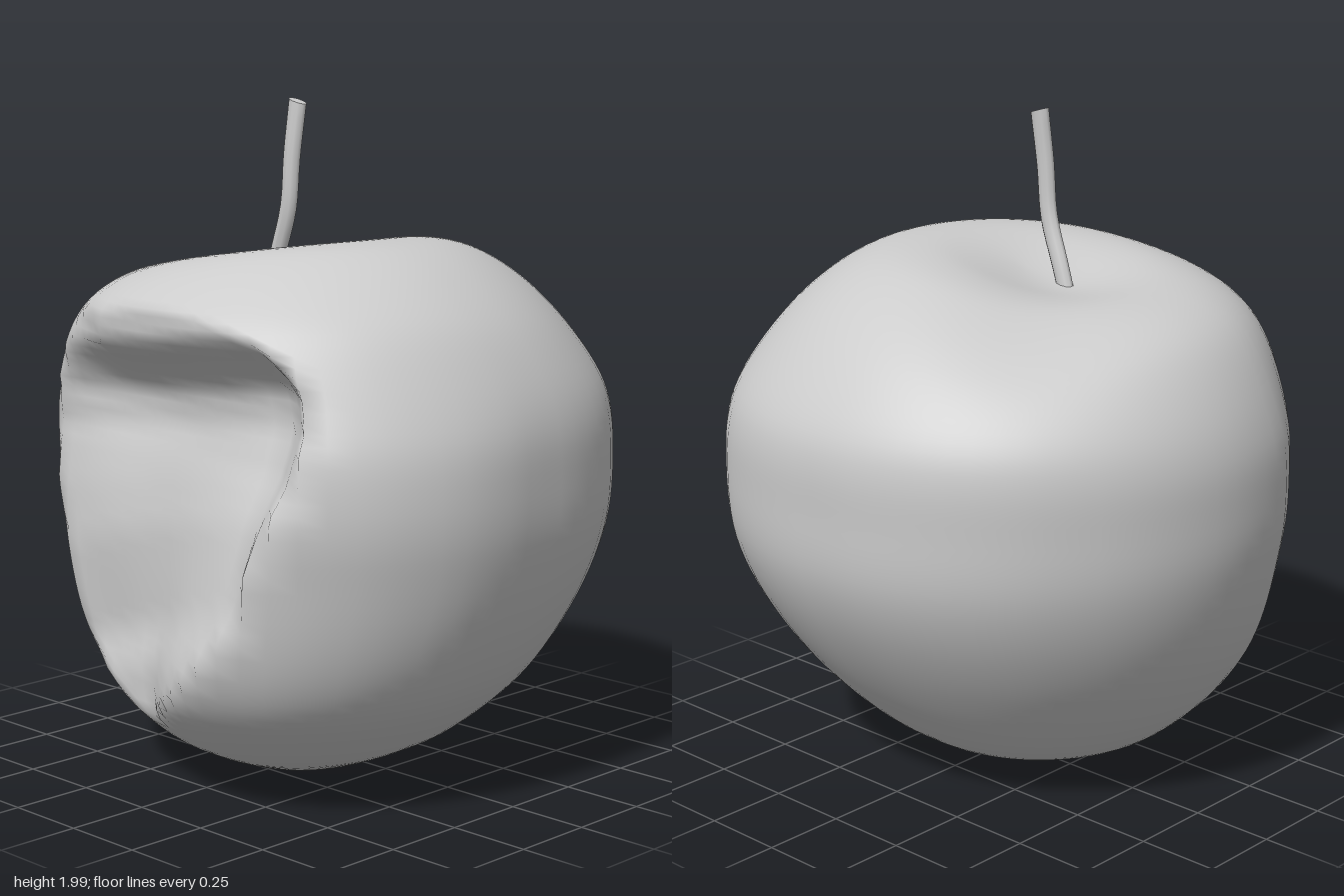
import * as THREE from 'three';
import { mergeVertices } from 'three/addons/utils/BufferGeometryUtils.js';

const { smoothstep, lerp, radToDeg } = THREE.MathUtils;

// Interpolate a short list of [key, value] pairs.
function sample(pairs, k) {
  if (k <= pairs[0][0]) return pairs[0][1];
  for (let i = 1; i < pairs.length; i++) {
    const [k0, v0] = pairs[i - 1], [k1, v1] = pairs[i];
    if (k <= k1) return lerp(v0, v1, (k - k0) / (k1 - k0));
  }
  return pairs[pairs.length - 1][1];
}

// Fruit half-profile [radius, height], bottom to crown.
const PROFILE = [
  [0, 0.02], [0.15, 0.025], [0.3, 0.07], [0.45, 0.14], [0.6, 0.27], [0.71, 0.42],
  [0.79, 0.6], [0.84, 0.8], [0.85, 0.97], [0.84, 1.12], [0.79, 1.26], [0.7, 1.4],
  [0.58, 1.5], [0.43, 1.575], [0.28, 1.61], [0.14, 1.62], [0, 1.62],
];

// Lopsided girth: radius by angle, from +x towards +z, in degrees.
const GIRTH = [
  [0, 0.85], [20, 0.89], [37, 0.91], [52, 0.915], [70, 0.89], [90, 0.83], [130, 0.8],
  [160, 0.865], [180, 0.855], [215, 0.825], [270, 0.81], [305, 0.855], [335, 0.86], [360, 0.85],
];

// Depth of the bitten face by height: lower lip, hollow floor, overhanging rim.
const BITE = [
  [0.2, 0.68], [0.42, 0.66], [0.54, 0.61], [0.68, 0.6], [0.82, 0.59], [0.95, 0.555],
  [1.1, 0.5], [1.2, 0.51], [1.27, 0.58], [1.35, 0.68], [1.46, 0.69], [1.55, 0.95],
];

function biteDepth(x, y) {
  const tilt = lerp(0.3, 0.1, smoothstep(y, 0.5, 1.1)); // edges climb to the right
  return sample(BITE, y - tilt * x)
    + 0.9 * Math.max(x, -0.1) * Math.max(0, 1 - y) // bulging lower lip on the right
    + 0.8 * Math.max(0, x - 0.37)
    - 0.5 * Math.max(0, -0.25 - x) * smoothstep(y, 1.1, 1.4)
    + 0.012 * Math.sin(x * 8 + 1) * Math.sin(y * 6); // tooth marks
}

// Round hollow of the crown at (cx, cz).
function hollow(x, z, cx, cz, size, depth) {
  return depth * Math.exp(-((x - cx) ** 2 + (z - cz) ** 2) / (2 * size * size));
}

function createFruit(material) {
  const curve = new THREE.SplineCurve(PROFILE.map(([r, y]) => new THREE.Vector2(r, y)));
  const points = curve.getPoints(80);
  points.forEach((p) => { p.x = Math.max(0, p.x); });
  let geo = new THREE.LatheGeometry(points, 72);
  geo.deleteAttribute('uv');
  geo.deleteAttribute('normal');
  const pos = geo.attributes.position;
  for (let i = 0; i < pos.count; i++) {
    let x = pos.getX(i), y = pos.getY(i), z = pos.getZ(i);
    // uneven girth, fading towards the top
    const angle = (radToDeg(Math.atan2(z, x)) + 360) % 360;
    const fade = 1 - 0.8 * smoothstep(y, 0.9, 1.4);
    const girth = 1 + (sample(GIRTH, angle) / 0.85 - 1) * fade;
    x *= girth;
    z *= girth;
    // base and crown lean forward, crown rises to the right
    const top = smoothstep(y, 1.15, 1.45);
    z += 0.08 * (1 - smoothstep(y, 0.25, 0.8)) + 0.045 * top;
    y += 0.04 * x * (1 - smoothstep(y, 0.1, 0.4));
    y += 0.05 * x * top * (1 - smoothstep(Math.hypot(x, z), 0.4, 0.7));
    // stem hollow and a dent in the back shoulder
    y -= top * (hollow(x, z, -0.16, 0.05, 0.2, 0.11) + hollow(x, z, -0.4, -0.35, 0.2, 0.05));
    // bite
    if (z > 0.2) z = Math.min(z, biteDepth(x, y));
    pos.setXYZ(i, x, Math.max(0, y - 0.012), z);
  }
  geo = mergeVertices(geo, 1e-4);
  geo.computeVertexNormals();
  const fruit = new THREE.Mesh(geo, material);
  fruit.name = 'bittenFruit';
  return fruit;
}

function createStem(material) {
  const path = new THREE.CatmullRomCurve3([
    [-0.16, 1.46, 0.07], [-0.13, 1.54, 0.075], [-0.075, 1.68, 0.085],
    [-0.06, 1.83, 0.085], [-0.045, 1.99, 0.075],
  ].map((p) => new THREE.Vector3(...p)));
  const geo = new THREE.CylinderGeometry(0.031, 0.027, 1, 10, 16);
  const pos = geo.attributes.position;
  for (let i = 0; i < pos.count; i++) {
    const x = pos.getX(i), c = path.getPoint(pos.getY(i) + 0.5);
    // slightly flattened section with a slanted tip
    pos.setXYZ(i, c.x + x, c.y - 0.3 * x, c.z + pos.getZ(i) * 0.7);
  }
  geo.computeVertexNormals();
  const stem = new THREE.Mesh(geo, material);
  stem.name = 'stem';
  return stem;
}

export function createModel() {
  const material = new THREE.MeshStandardMaterial({ color: 0xcccccc });
  const group = new THREE.Group();
  group.name = 'bittenApple';
  group.add(createFruit(material), createStem(material));
  return group;
}
